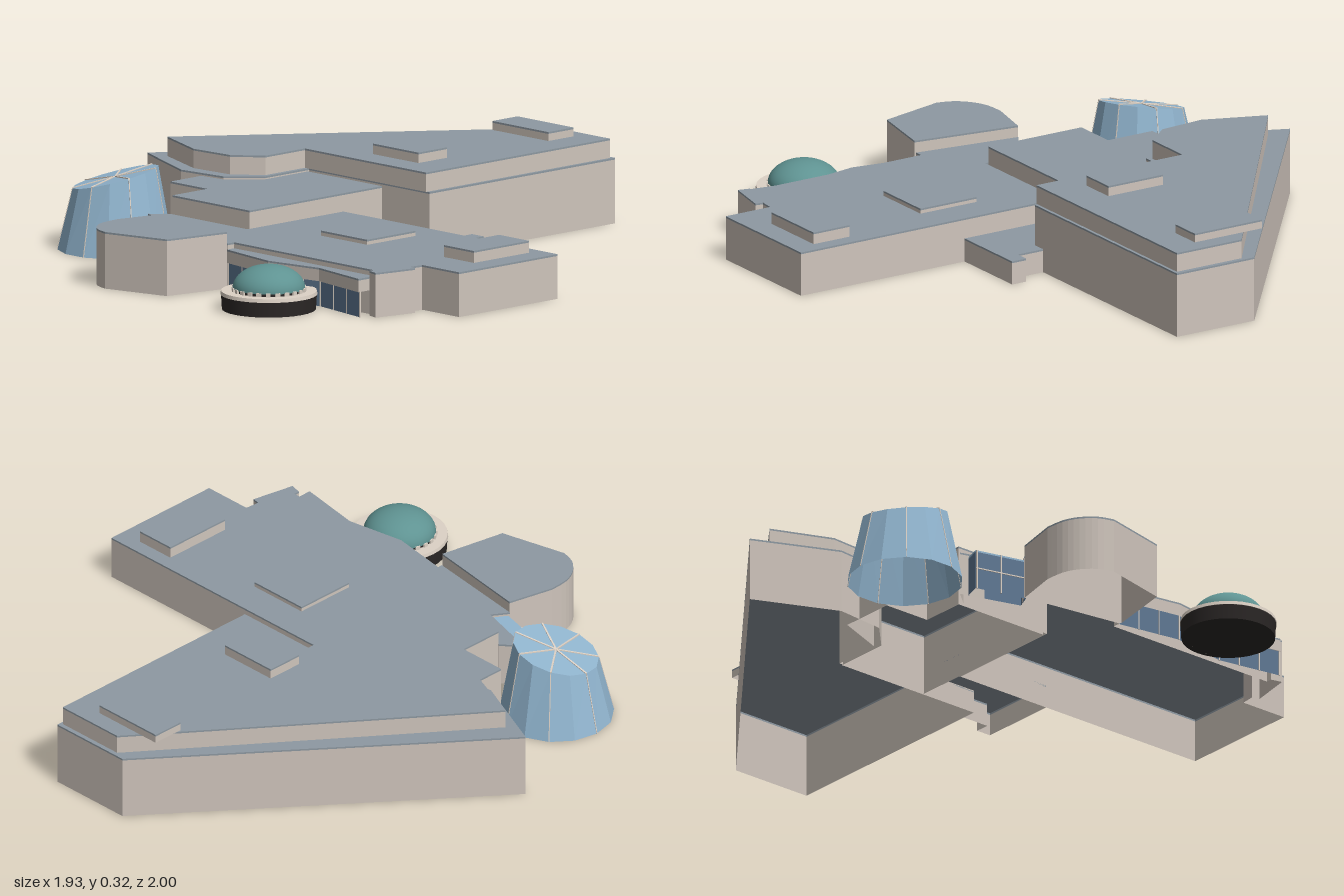
import * as THREE from 'three';

const mat = (name, color, side = THREE.DoubleSide) => {
  const m = new THREE.MeshStandardMaterial({ color, side });
  m.name = name;
  return m;
};

export function createModel() {
  const model = new THREE.Group();
  model.name = 'building';
  const wall = mat('wall beige', 0xcfc5bc);
  const roof = mat('roof grey', 0x8e99a2);
  const windowBlue = mat('window blue', 0x5f7893);
  const skyGlass = mat('skylight blue', 0x92b6d0);
  const domeTeal = mat('dome teal', 0x5f9392);
  const baseBlack = mat('base black', 0x2b2726);
  const trim = mat('trim cream', 0xddd2c6);

  const add = (name, geometry, material, parent = model) => {
    const mesh = new THREE.Mesh(geometry, material);
    mesh.name = name;
    parent.add(mesh);
    return mesh;
  };

  // vertical faces along a ground plan, facing outwards for a plan turning left
  const wallGeometry = (plan, y0, y1, closed = true) => {
    const pos = [];
    for (let i = 0; i < plan.length - (closed ? 0 : 1); i++) {
      const [ax, az] = plan[i], [bx, bz] = plan[(i + 1) % plan.length];
      pos.push(ax, y0, az, bx, y0, bz, bx, y1, bz, ax, y0, az, bx, y1, bz, ax, y1, az);
    }
    const g = new THREE.BufferGeometry();
    g.setAttribute('position', new THREE.Float32BufferAttribute(pos, 3));
    g.computeVertexNormals();
    return g;
  };

  // hollow block, open below: walls, thin roof edge and flat roof
  const block = (name, points, y0, y1, side = wall, top = roof) => {
    const flat = points.map(([x, z]) => new THREE.Vector2(x, -z));
    const plan = THREE.ShapeUtils.area(flat) < 0 ? [...points].reverse() : points;
    const group = new THREE.Group();
    group.name = name;
    model.add(group);
    add(name + 'Walls', wallGeometry(plan, y0, y1 - 0.006), side, group);
    add(name + 'Edge', wallGeometry(plan, y1 - 0.006, y1), top, group);
    const cap = new THREE.ShapeGeometry(new THREE.Shape(flat));
    cap.rotateX(-Math.PI / 2).translate(0, y1, 0);
    add(name + 'Roof', cap, top, group);
  };
  const rect = (x0, x1, z0, z1) => [[x0, z1], [x1, z1], [x1, z0], [x0, z0]];

  // thin square bar between two points
  const bar = (name, a, b, t = 0.005) => {
    const p = new THREE.Vector3(...a), q = new THREE.Vector3(...b);
    const m = add(name, new THREE.BoxGeometry(t, t, p.distanceTo(q)), trim);
    m.position.copy(p).lerp(q, 0.5);
    m.lookAt(q);
  };

  // tall wing with a stepped upper storey
  block('wingLower', [[-0.14, -1], [0.165, -1], [0.165, -0.15], [-0.405, -0.15], [-0.405, 0.05],
    [-0.5, 0.15], [-0.68, 0.17], [-0.97, 0.045]], 0, 0.22);
  block('wingUpper', [[-0.1, -0.985], [0.155, -0.985], [0.155, -0.145], [-0.42, -0.145], [-0.42, 0.035],
    [-0.51, 0.11], [-0.67, 0.122], [-0.88, 0.04]], 0.22, 0.285);

  // central block, long hall and rear annex
  block('centreBlock', [[-0.055, -0.145], [-0.055, 0.46], [-0.42, 0.46], [-0.42, 0.3], [-0.595, 0.3],
    [-0.595, 0.1], [-0.42, 0.03], [-0.42, -0.145]], 0, 0.21);
  block('hall', [[-0.05, 0.035], [0.965, 0.035], [0.965, 0.485], [0.79, 0.485], [0.785, 0.535], [0.812, 0.54],
    [0.782, 0.69], [0.742, 0.68], [0.742, 0.66], [0.08, 0.66], [0.08, 0.69], [-0.29, 0.64], [-0.255, 0.585],
    [-0.47, 0.525], [-0.41, 0.473], [-0.05, 0.473]], 0, 0.15);
  block('annex', [[0.165, -0.2], [0.265, -0.2], [0.265, -0.25], [0.32, -0.25], [0.32, 0.035],
    [-0.055, 0.035], [-0.055, -0.15], [0.165, -0.15]], 0, 0.08);

  // rounded lobby
  const bow = new THREE.SplineCurve([[-0.195, 0.985], [-0.25, 0.967], [-0.295, 0.925], [-0.32, 0.87], [-0.325, 0.8]]
    .map(p => new THREE.Vector2(...p))).getPoints(12).map(p => [p.x, p.y]);
  block('lobby', [[-0.288, 0.64], [0.083, 0.695], [0.038, 0.928], ...bow], 0, 0.19);

  // rooftop units
  [[-0.22, 0.045, -0.925, -0.81, 0.285, 0.315], [-0.195, 0.02, -0.37, -0.24, 0.285, 0.32],
    [0.195, 0.415, 0.155, 0.375, 0.15, 0.167], [0.74, 0.882, 0.085, 0.338, 0.15, 0.19]]
    .forEach(([x0, x1, z0, z1, y0, y1], i) => block('roofUnit' + (i + 1), rect(x0, x1, z0, z1), y0, y1));

  // zigzag canopy with a window front below
  const zigzag = [[0.08, 0.692], [0.31, 0.728], [0.515, 0.692], [0.742, 0.73]];
  block('canopy', [...zigzag, [0.742, 0.66], [0.08, 0.66]], 0.085, 0.13);
  const front = zigzag.map(([x, z]) => [x, z - 0.007]);
  add('frontWindows', wallGeometry(front, 0, 0.087, false), windowBlue);
  for (let s = 0; s < 3; s++) {
    for (let k = 0; k <= 3; k++) {
      const x = THREE.MathUtils.lerp(front[s][0], front[s + 1][0], k / 3);
      const z = THREE.MathUtils.lerp(front[s][1], front[s + 1][1], k / 3);
      bar('windowPost', [x, 0, z], [x, 0.087, z], 0.004);
    }
  }

  // slanted side window bay
  const bay = [[-0.46, 0.593], [-0.28, 0.637], [-0.258, 0.585], [-0.44, 0.533]];
  block('sideWindow', bay, 0, 0.138, windowBlue, skyGlass);
  bar('sideWindowRail', [-0.46, 0.073, 0.594], [-0.28, 0.073, 0.638], 0.004);
  for (const k of [0.02, 0.5]) {
    const x = -0.46 + 0.18 * k, z = 0.594 + 0.044 * k;
    bar('sideWindowPost', [x, 0, z], [x, 0.138, z], 0.004);
  }

  // glass cone cut off by a slanted plane
  const N = 14, cx = -0.67, cz = 0.48;
  const topY = (x, z) => 0.24 + 0.22 * (x - cx) - 0.15 * (z - cz);
  const ring = (i, r) => {
    const a = (i + 0.5) / N * Math.PI * 2;
    return [cx + r * Math.sin(a), cz + r * Math.cos(a)];
  };
  const cone = [];
  for (let i = 0; i < N; i++) {
    const [ax, az] = ring(i, 0.192), [bx, bz] = ring(i + 1, 0.192);
    const [tx, tz] = ring(i, 0.142), [ux, uz] = ring(i + 1, 0.142);
    const a = [ax, 0, az], b = [bx, 0, bz], t = [tx, topY(tx, tz), tz], u = [ux, topY(ux, uz), uz];
    cone.push(...a, ...b, ...u, ...a, ...u, ...t, ...t, ...u, cx, topY(cx, cz), cz);
    if (i % 2 === 0) {
      bar('skylightPost', a, t, 0.003);
      bar('skylightSpoke', [cx, topY(cx, cz), cz], t, 0.006);
    }
  }
  const coneGeometry = new THREE.BufferGeometry();
  coneGeometry.setAttribute('position', new THREE.Float32BufferAttribute(cone, 3));
  coneGeometry.computeVertexNormals();
  add('skylight', coneGeometry, skyGlass);

  // round pavilion with a studded rim and a shallow dome
  const pavilion = new THREE.Group();
  pavilion.name = 'pavilion';
  pavilion.position.set(0.426, 0, 0.835);
  model.add(pavilion);
  add('pavilionBase', new THREE.CylinderGeometry(0.158, 0.155, 0.05, 32), baseBlack, pavilion).position.y = 0.025;
  add('pavilionRim', new THREE.CylinderGeometry(0.158, 0.16, 0.012, 32), trim, pavilion).position.y = 0.056;
  add('pavilionDrum', new THREE.CylinderGeometry(0.118, 0.118, 0.012, 32), baseBlack, pavilion).position.y = 0.066;
  const dome = add('dome', new THREE.SphereGeometry(0.12, 32, 12, 0, Math.PI * 2, 0, Math.PI / 2), domeTeal, pavilion);
  dome.scale.y = 0.65;
  dome.position.y = 0.07;
  for (let i = 0; i < 24; i++) {
    const a = i / 24 * Math.PI * 2;
    const stud = add('rimStud', new THREE.BoxGeometry(0.016, 0.012, 0.008), trim, pavilion);
    stud.position.set(0.12 * Math.sin(a), 0.068, 0.12 * Math.cos(a));
    stud.rotation.y = a;
  }
  return model;
}
